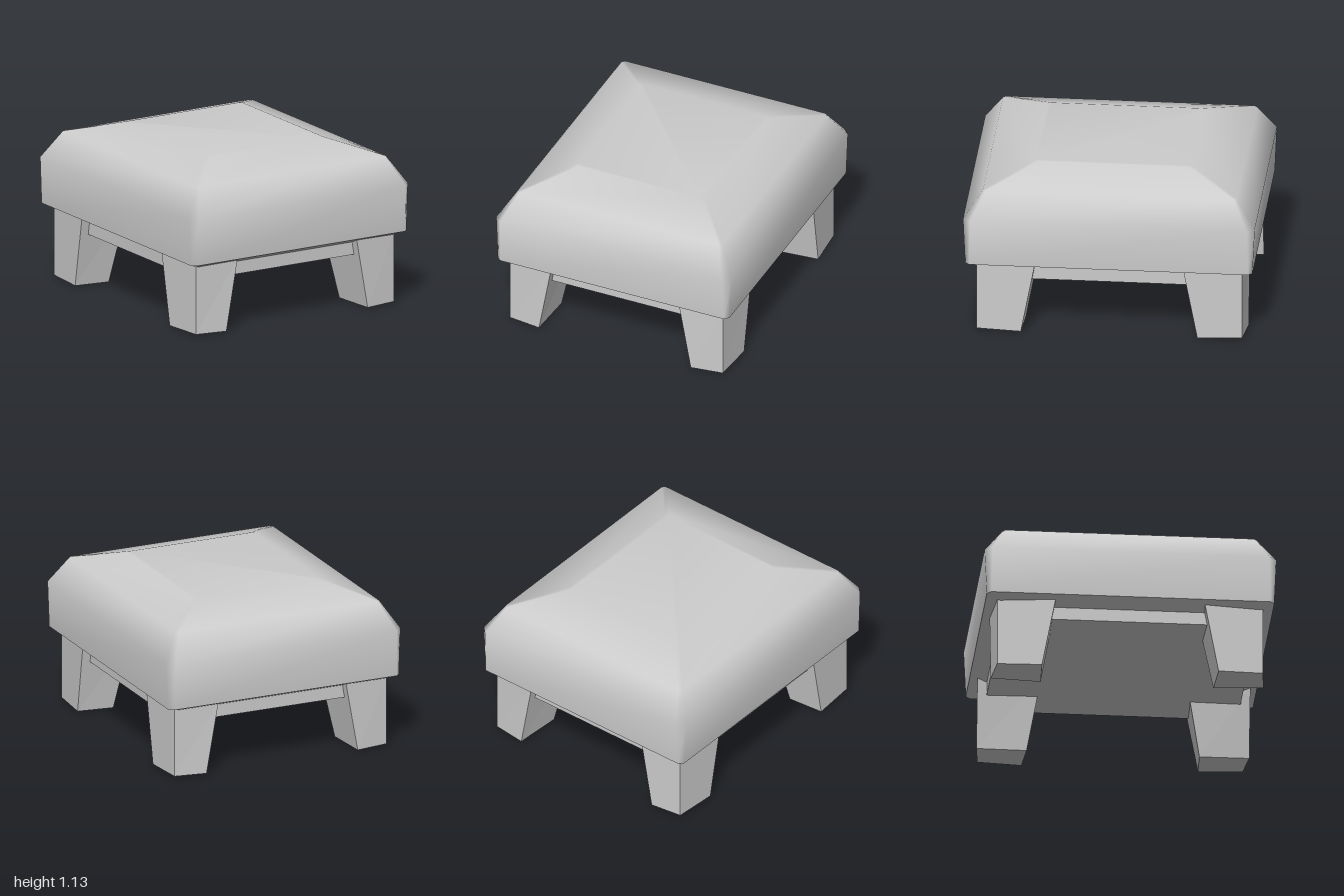
import * as THREE from 'three';

const fabric = new THREE.MeshStandardMaterial({ color: 0xcccccc });
fabric.name = 'light grey';

// Skin stacked rings of [x, y, z] points, ordered counterclockwise from above
function loft(rings, { bottom = false, top = false, smooth = false } = {}) {
  const n = rings[0].length;
  const index = [];
  for (let i = 0; i < rings.length - 1; i++) {
    for (let j = 0; j < n; j++) {
      const a = i * n + j, b = i * n + (j + 1) % n;
      index.push(a, b, b + n, a, b + n, a + n);
    }
  }
  const last = (rings.length - 1) * n;
  for (let j = 1; j < n - 1; j++) {
    if (bottom) index.push(0, j + 1, j);
    if (top) index.push(last, last + j, last + j + 1);
  }
  let geometry = new THREE.BufferGeometry();
  geometry.setAttribute('position', new THREE.Float32BufferAttribute(rings.flat(2), 3));
  geometry.setIndex(index);
  if (!smooth) geometry = geometry.toNonIndexed();
  geometry.computeVertexNormals();
  return geometry;
}

// Rectangle with cut corners, given by half sizes
function ring(y, x, z, c) {
  return [
    [x - c, y, z], [x, y, z - c], [x, y, c - z], [x - c, y, -z],
    [c - x, y, -z], [-x, y, c - z], [-x, y, z - c], [c - x, y, z],
  ];
}

export function createModel() {
  const group = new THREE.Group();
  group.name = 'footstool';
  const add = (name, geometry) => {
    const mesh = new THREE.Mesh(geometry, fabric);
    mesh.name = name;
    group.add(mesh);
  };

  // Padded seat with soft shoulders
  add('cushion', loft([
    ring(0.52, 0.87, 0.985, 0.03),
    ring(0.85, 0.885, 1.0, 0.05),
    ring(1.035, 0.77, 0.87, 0.02),
    ring(1.135, 0.475, 0.535, 0.02),
  ], { top: true, smooth: true }));

  // Sloping lip under the cushion
  add('cushionUnderside', loft([
    ring(0.47, 0.76, 0.87, 0.02),
    ring(0.52, 0.87, 0.985, 0.03),
  ]));

  // Recessed frame with a flat bottom
  add('apron', loft([
    ring(0.38, 0.76, 0.87, 0.02),
    ring(0.47, 0.76, 0.87, 0.02),
  ], { bottom: true }));

  // Four tapered legs, mirrored from the front left one
  const foot = [[0.57, 0.008, 0.935], [0.8, 0.012, 0.91], [0.82, 0.008, 0.605], [0.557, 0, 0.592]];
  const head = [[0.48, 0.51, 0.935], [0.8, 0.51, 0.91], [0.825, 0.51, 0.51], [0.47, 0.51, 0.5]];
  for (const sx of [1, -1]) {
    for (const sz of [1, -1]) {
      const rings = [foot, head].map((points) => {
        const mirrored = points.map(([x, y, z]) => [x * sx, y, z * sz]);
        return sx * sz < 0 ? mirrored.reverse() : mirrored;
      });
      add(`${sz > 0 ? 'front' : 'back'}${sx > 0 ? 'Left' : 'Right'}Leg`,
        loft(rings, { bottom: true, top: true }));
    }
  }
  return group;
}
